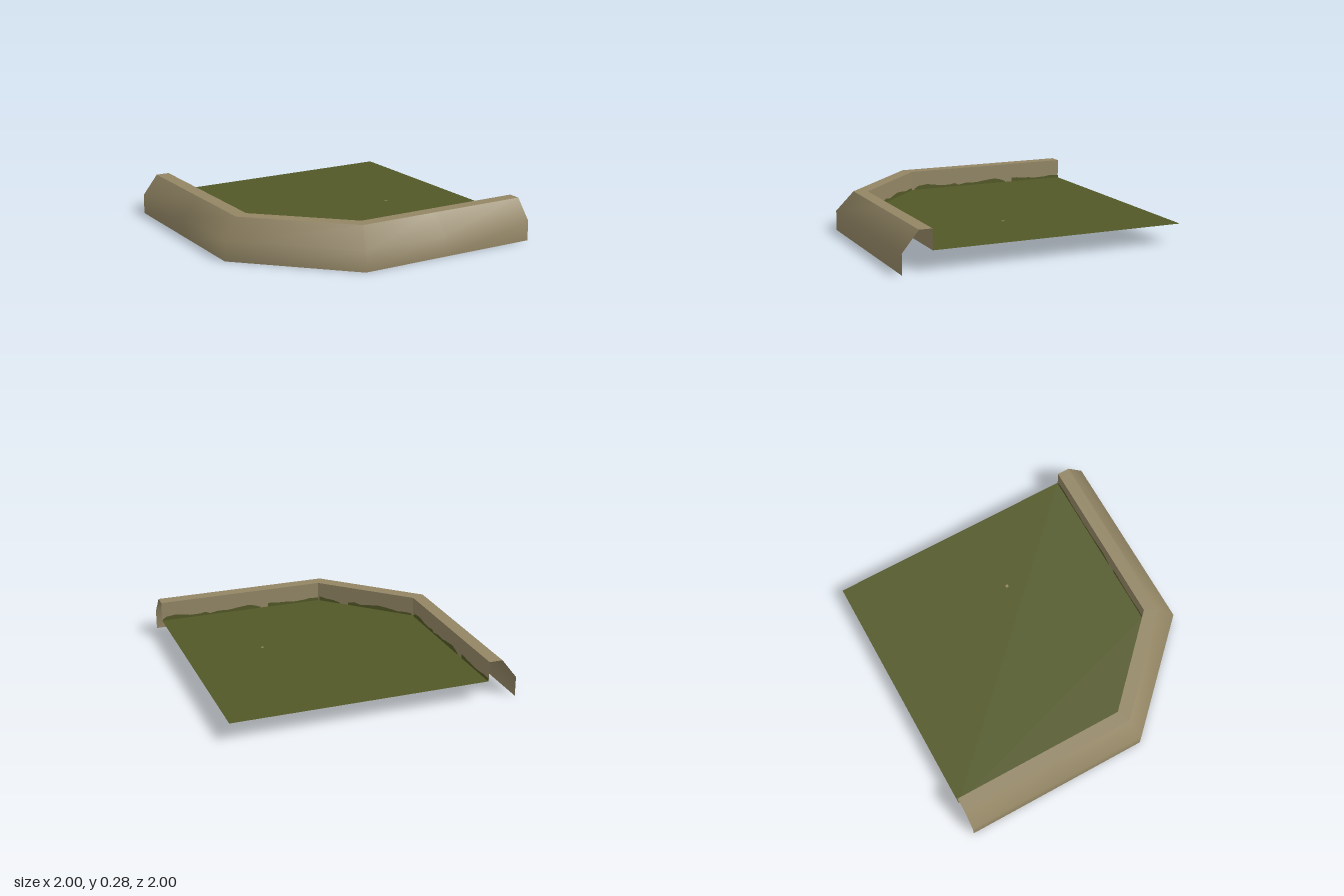
import * as THREE from 'three';

// Wall cross-section rows: plan corners [x, z] of each row, with its height
const outer = [[-1, -1], [-1, -0.3], [-1, 0.33], [-0.33, 1], [0.3, 1], [1, 1]];
const rim = [[-0.89, -1], [-0.89, -0.3], [-0.89, 0.29], [-0.28, 0.885], [0.3, 0.885], [1, 0.885]];
const inner = [[-0.795, -1], [-0.795, 0.25], [-0.235, 0.795], [1, 0.795]];
const rimEnds = [rim[0], rim[2], rim[3], rim[5]];
const FLOOR = 0.14, TOP = 0.28;

// Surface through a list of rows, bottom to top, facing outward
function band(rows, flat) {
  const n = rows[0].pts.length, pos = [], index = [];
  for (const { pts, y } of rows) for (const [x, z] of pts) pos.push(x, y, z);
  for (let r = 0; r < rows.length - 1; r++) {
    for (let i = 0; i < n - 1; i++) {
      const a = r * n + i, b = a + 1, c = b + n, d = a + n;
      index.push(a, b, c, a, c, d);
    }
  }
  let g = new THREE.BufferGeometry();
  g.setAttribute('position', new THREE.Float32BufferAttribute(pos, 3));
  g.setIndex(index);
  if (flat) g = g.toNonIndexed();
  g.computeVertexNormals();
  return g;
}

// Ragged growth outlines: [distance along wall, height]
const longPatches = [
  [[0, 0.02], [0.07, 0.026], [0.12, 0.018], [0.2, 0.015], [0.27, 0.022], [0.33, 0.024], [0.37, 0.03], [0.41, 0.03]],
  [[0.47, 0.008], [0.51, 0.024], [0.56, 0.036], [0.61, 0.031], [0.66, 0.026], [0.72, 0.018], [0.8, 0.022], [0.87, 0.01]],
  [[0.87, 0.012], [0.9, 0.026], [0.94, 0.018], [1.02, 0.018], [1.08, 0.03], [1.13, 0.036], [1.2, 0.028], [1.23, 0.01]],
];
const shortPatches = [
  [[0.01, 0.014], [0.06, 0.018], [0.12, 0.014], [0.2, 0.026], [0.28, 0.034], [0.35, 0.026], [0.42, 0.016], [0.48, 0.03], [0.53, 0.018]],
  [[0.6, 0.008], [0.65, 0.02], [0.71, 0.022], [0.77, 0.034]],
];

export function createModel() {
  const stone = new THREE.MeshStandardMaterial({ color: 0x938665, side: THREE.DoubleSide });
  stone.name = 'stone';
  const grass = new THREE.MeshStandardMaterial({ color: 0x525826, side: THREE.DoubleSide });
  grass.name = 'grass';

  const model = new THREE.Group();
  model.name = 'cornerTerrace';
  const add = (name, geometry, material) => {
    const mesh = new THREE.Mesh(geometry, material);
    mesh.name = name;
    model.add(mesh);
    return mesh;
  };

  // Wall shell: rounded outside, flat coping, crisp inside faces
  add('outerWall', band([{ pts: outer, y: 0 }, { pts: outer, y: FLOOR }, { pts: rim, y: TOP }], false), stone);
  add('coping', band([{ pts: rimEnds, y: TOP }, { pts: inner, y: TOP }], true), stone);
  add('innerWall', band([{ pts: inner, y: TOP }, { pts: inner, y: FLOOR }], true), stone);

  // Floor sheet bounded by the inner wall
  const plan = new THREE.Shape([...inner, [1, -1]].map(([x, z]) => new THREE.Vector2(x, -z)));
  add('floor', new THREE.ShapeGeometry(plan).rotateX(-Math.PI / 2).translate(0, FLOOR, 0), grass);

  // Small stone fleck lying in the grass
  add('stoneFleck', new THREE.PlaneGeometry(0.02, 0.02).rotateX(-Math.PI / 2).translate(0.45, FLOOR + 0.002, 0.06), stone);

  // Growth climbing the foot of each inner wall face
  [longPatches, shortPatches, longPatches].forEach((patches, i) => {
    const [x0, z0] = inner[i], [x1, z1] = inner[i + 1];
    for (const points of patches) {
      const first = points[0][0], last = points[points.length - 1][0];
      const outline = [[first, 0], [last, 0], ...[...points].reverse()];
      const shape = new THREE.Shape(outline.map(([u, h]) => new THREE.Vector2(u, h)));
      const mesh = add('wallGrass', new THREE.ShapeGeometry(shape).translate(0, 0, -0.003), grass);
      mesh.position.set(x0, FLOOR, z0);
      mesh.rotation.y = Math.atan2(z0 - z1, x1 - x0);
    }
  });

  return model;
}
